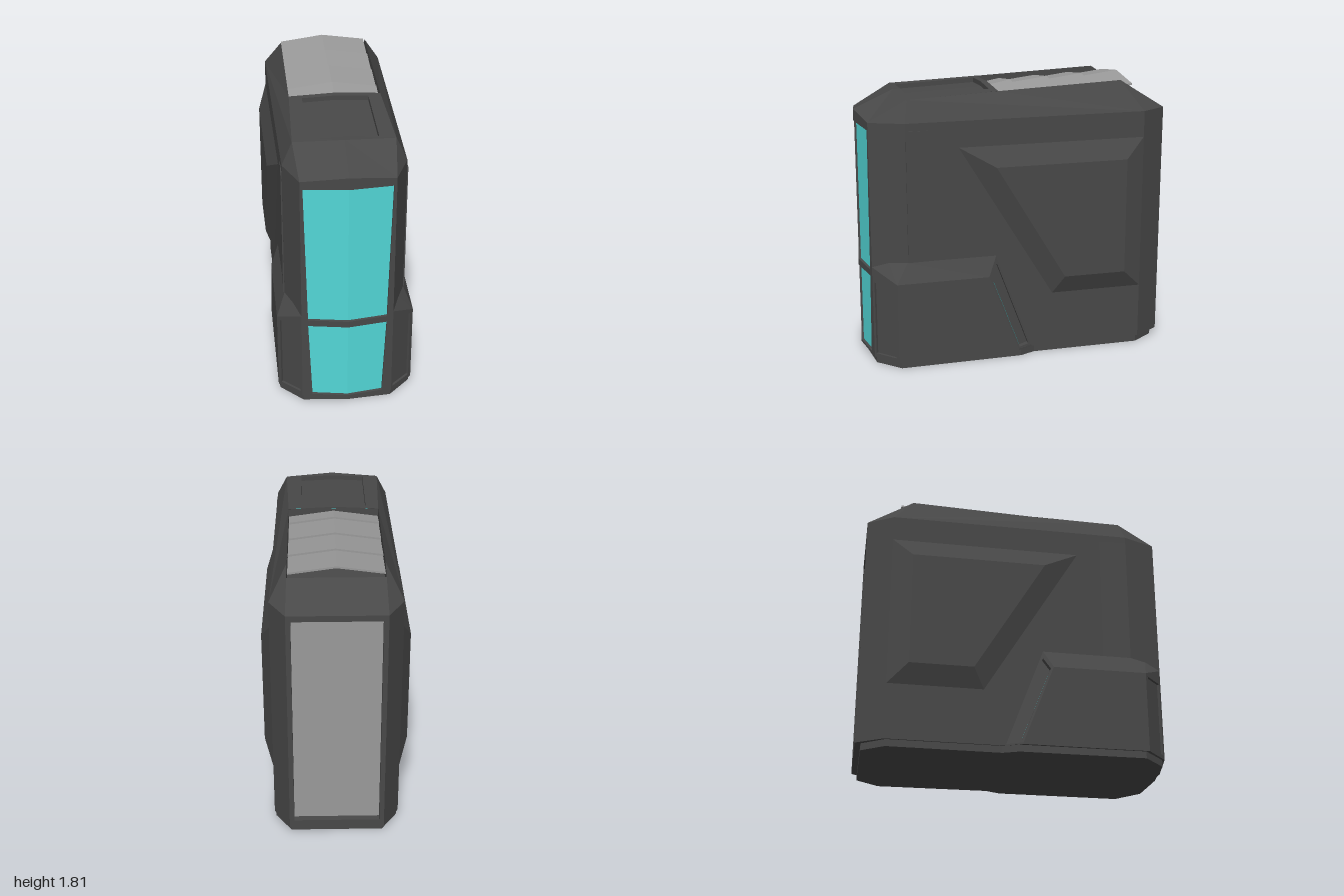
import * as THREE from 'three';

const mat = (color) => new THREE.MeshStandardMaterial({ color, flatShading: true, side: THREE.DoubleSide });
const DARK = mat(0x484848), LIGHT = mat(0x999999), CYAN = mat(0x52d6d6);

// Builds a faceted mesh from polygons, turning each away from the middle of the case
function facets(name, polys, material, mirrored = false) {
  const pos = [], mid = new THREE.Vector3(0, 0.8, 0);
  const all = mirrored ? polys.concat(polys.map(p => p.map(([x, y, z]) => [-x, y, z]))) : polys;
  for (const p of all) {
    const v = p.map(q => new THREE.Vector3(...q));
    for (let i = 1; i < v.length - 1; i++) {
      let [a, b, c] = [v[0], v[i], v[i + 1]];
      const n = b.clone().sub(a).cross(c.clone().sub(a));
      if (n.dot(a.clone().sub(mid)) < 0) [b, c] = [c, b];
      for (const q of [a, b, c]) pos.push(q.x, q.y, q.z);
    }
  }
  const g = new THREE.BufferGeometry();
  g.setAttribute('position', new THREE.Float32BufferAttribute(pos, 3));
  g.computeVertexNormals();
  const m = new THREE.Mesh(g, material);
  m.name = name;
  return m;
}

const lerp = (a, b, t) => a.map((v, i) => v + (b[i] - v) * t);
const shift = (loop, d) => loop.map(p => p.map((v, i) => v + d[i]));
// Quads joining two loops of equal length
const band = (a, b) => a.map((p, i) => {
  const j = (i + 1) % a.length;
  return [p, a[j], b[j], b[i]];
});
// Smaller quad inside a quad
const inset = ([a, b, c, d], u0, u1, v0, v1) =>
  [[u0, v0], [u1, v0], [u1, v1], [u0, v1]].map(([u, v]) => lerp(lerp(a, b, u), lerp(d, c, u), v));
// Six-point loop with a centre crease, and the two quads that fill it
const six = (f, w0, a0, w1, a1) =>
  [[-w0, a0], [0, a0], [w0, a0], [w1, a1], [0, a1], [-w1, a1]].map(([x, a]) => f(x, a));
const fill = (l) => [[l[0], l[1], l[4], l[5]], [l[1], l[2], l[3], l[4]]];

// Flat plate from half an outline of [x, z]
function plate(name, half, y0, y1) {
  const pts = half.concat(half.filter(p => p[0] > 0).reverse().map(([x, z]) => [-x, z]));
  const g = new THREE.ExtrudeGeometry(new THREE.Shape(pts.map(([x, z]) => new THREE.Vector2(x, -z))),
    { depth: y1 - y0, bevelEnabled: false });
  g.rotateX(-Math.PI / 2).translate(0, y0, 0);
  const m = new THREE.Mesh(g, DARK);
  m.name = name;
  return m;
}

const sideX = (z) => 0.4 - 0.025 * (z + 0.83) / 1.57;
const roofY = (z) => 1.735 + (0.7 - z) * 0.055 / 1.4;
const side = (z, y, out = 0) => [sideX(z) + out, y, z];

export function createModel() {
  const group = new THREE.Group();
  const add = (...args) => group.add(facets(...args));

  // Base and sill
  group.add(plate('base', [[0.29, -0.965], [0.39, -0.82], [0.38, -0.1], [0.42, 0], [0.42, 0.8], [0.28, 0.94], [0, 0.965]], 0, 0.05));
  group.add(plate('sill', [[0.3, -1], [0.4, -0.83], [0.388, -0.08], [0.435, 0.02], [0.43, 0.82], [0.285, 0.955], [0, 1]], 0.045, 0.055));

  // Side walls with corner chamfers and upper bevels
  const cornerB = [0.3, 1.6, -1], cornerS = side(-0.83, 1.6), cornerF = side(0.74, 1.6);
  const nose = [0.285, 1.6, 0.955], rail = [0.29, 1.79, -0.7], brow = [0.31, 1.735, 0.71], slopeTop = [0.293, 1.735, -0.785];
  const ledge = [side(0.16, 0.7), side(0.74, 0.7), [0.33, 0.695, 0.85], [0.285, 0.66, 0.955]];
  add('sideWalls', [
    [[0.3, 0.05, -1], side(-0.83, 0.05), cornerS, cornerB],
    [cornerS, side(-0.83, 0.05), side(-0.08, 0.05), ledge[0], ledge[1], cornerF],
    [nose, cornerF, ledge[1], ledge[2], ledge[3]],
    [cornerS, cornerB, slopeTop, rail],
    [cornerS, cornerF, brow, [0.29, roofY(0.12), 0.12], rail],
    [cornerF, nose, brow],
    [nose, [0, 1.635, 1], [0, 1.75, 0.74], brow],
  ], DARK, true);

  // Raised side panels
  const outer = [side(0.4, 1.43), side(-0.83, 1.43), side(-0.83, 0.41), side(-0.22, 0.41)];
  const inner = [[0.443, 1.3, 0.17], [0.455, 1.3, -0.7], [0.455, 0.535, -0.7], [0.448, 0.535, -0.29]];
  add('sidePanel', [...band(outer, inner), inner], DARK, true);

  // Shallow step behind the front corner
  const step = [side(0.735, 0.7, 0.008), side(0.735, 1.55, 0.008)];
  add('sideStep', [
    [...step, side(0.56, 1.55), side(0.56, 0.7)],
    [...step, side(0.735, 1.55), side(0.735, 0.7)],
    [step[1], side(0.735, 1.55), side(0.56, 1.55)],
  ], DARK, true);

  // Lower front fenders with a recess on the front corner
  const P = [[0.435, 0.05, 0.02], [0.435, 0.575, 0.22], [0.43, 0.575, 0.82], [0.43, 0.05, 0.82], [0.285, 0.05, 0.955], [0.285, 0.575, 0.955]];
  const corner = [P[3], P[4], P[5], P[2]];
  const cornerIn = inset(corner, 0.12, 0.92, 0.04, 0.97);
  const cornerDeep = shift(cornerIn, [-0.01, 0, -0.012]);
  add('fender', [
    P.slice(0, 4),
    [P[1], ledge[0], ledge[1], P[2]],
    [P[2], ledge[1], ledge[2], ledge[3], P[5]],
    ...band(corner, cornerIn), ...band(cornerIn, cornerDeep), cornerDeep,
  ], DARK, true);

  // Slanted channel behind each fender, with a light strip on its front wall
  const slant = [P[0], side(-0.08, 0.05), ledge[0], P[1]];
  const slantIn = inset(slant, 0.14, 0.84, 0.03, 0.95);
  const slantDeep = shift(slantIn, [-0.035, 0, 0]);
  add('channel', [...band(slant, slantIn), ...band(slantIn, slantDeep), slantDeep], DARK, true);
  const wall = [slantIn[0], slantDeep[0], slantDeep[3], slantIn[3]];
  add('lightStrip', [shift(inset(wall, 0.2, 0.75, 0.04, 0.93), [0, 0, -0.003])], CYAN, true);

  // Creased front: two framed panels
  const front = (x, y) => {
    const k = 1 - Math.abs(x) / 0.285;
    return [x, y + (y > 1.59 ? 0.035 * k : y > 1.5 ? 0.008 * k : 0), 0.955 + 0.045 * k];
  };
  for (const [name, o, i] of [
    ['lowerFront', [0.285, 0.05, 0.285, 0.61], [0.222, 0.06, 0.245, 0.59]],
    ['upperFront', [0.285, 0.61, 0.285, 1.6], [0.245, 0.632, 0.268, 1.55]],
  ]) {
    const a = six(front, ...o), b = six(front, ...i), c = shift(b, [0, 0, -0.018]);
    add(name + 'Frame', [...band(a, b), ...band(b, c)], DARK);
    add(name + 'Panel', fill(c), CYAN);
  }

  // Back frame, recessed back panel and rear slope
  const back = [[-0.3, 0.05, -1], [0.3, 0.05, -1], [0.3, 1.6, -1], [-0.3, 1.6, -1]];
  const backIn = inset(back, 0.05, 0.95, 0.035, 0.975);
  const backDeep = shift(backIn, [0, 0, 0.04]);
  const flip = ([x, y, z]) => [-x, y, z];
  add('backFrame', [...band(back, backIn), ...band(backIn, backDeep), [cornerB, slopeTop, flip(slopeTop), flip(cornerB)]], DARK);
  add('backPanel', [backDeep], LIGHT);

  // Front deck of the roof with a sunken tray
  const deck = (x, z) => {
    const k = 1 - Math.abs(x) / 0.31;
    return [x, roofY(z) + 0.015 * k, z + (z > 0.7 ? 0.03 * k : 0)];
  };
  const deckOut = six(deck, 0.29, 0.12, 0.31, 0.71);
  const trayRim = six(deck, 0.21, 0.16, 0.21, 0.69);
  const trayFloor = shift(trayRim, [0, -0.03, 0]);
  add('roofDeck', [...band(deckOut, trayRim), ...band(trayRim, trayFloor)], DARK);
  add('tray', fill(trayFloor), DARK);

  // Well beneath the louvres
  const well = [[-0.29, roofY(0.12), 0.12], [0.29, roofY(0.12), 0.12], rail, slopeTop, flip(slopeTop), flip(rail)];
  const wellFloor = well.map(([x, , z]) => [x, 1.68, z]);
  add('louvreWell', [...band(well, wellFloor), wellFloor], DARK);

  // Louvres, each rising to the rear
  [[0.12, -0.04], [0.01, -0.29], [-0.24, -0.53], [-0.48, -0.78]].forEach(([z0, z1]) => {
    const slat = (x, z) => [x, roofY(z) + (z === z1 ? 0.012 : -0.012) - 0.04 * Math.abs(x) / 0.287, z];
    const top = six(slat, 0.287, z0, 0.287, z1), under = shift(top, [0, -0.012, 0]);
    add('louvre', [...fill(top), ...fill(under), ...band(top, under)], LIGHT);
  });

  return group;
}
